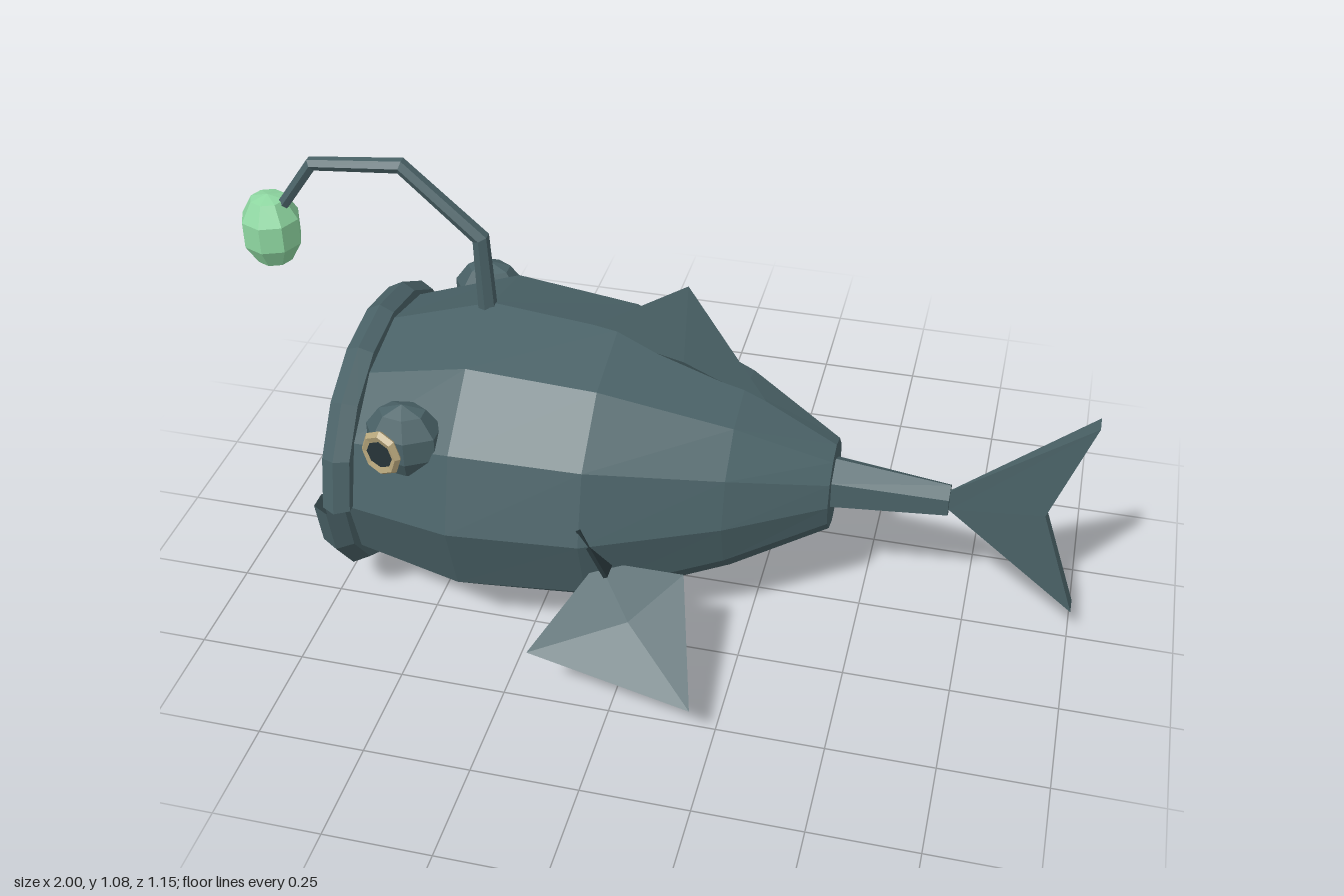
import * as THREE from 'three';

const flat = (name, color) => new THREE.MeshStandardMaterial({ name, color, flatShading: true, side: THREE.DoubleSide });
const skin = flat('skin', 0x4a6267);
const bone = flat('bone', 0xb5a47a);
const glow = flat('glow', 0x8fd8a2);
const dark = flat('dark', 0x263438);

function fromTriangles(points) {
  const g = new THREE.BufferGeometry().setFromPoints(points);
  g.computeVertexNormals();
  return g;
}

// Elliptical cross-section in the plane spanned by the z axis and a direction at the given tilt
function ring(x, y, rUp, rz, sides, tilt = 0, offset = 0) {
  return Array.from({ length: sides }, (_, i) => {
    const a = offset + (i / sides) * Math.PI * 2, s = Math.sin(a) * rUp;
    return new THREE.Vector3(x - Math.sin(tilt) * s, y + Math.cos(tilt) * s, Math.cos(a) * rz);
  });
}

function loft(rings, capEnd) {
  const out = [], n = rings[0].length;
  for (let i = 0; i < rings.length - 1; i++) {
    for (let j = 0; j < n; j++) {
      const k = (j + 1) % n, a = rings[i], b = rings[i + 1];
      out.push(a[j], b[j], b[k], a[j], b[k], a[k]);
    }
  }
  const last = rings[rings.length - 1];
  if (capEnd) for (let j = 1; j < n - 1; j++) out.push(last[0], last[j], last[j + 1]);
  return fromTriangles(out);
}

// Thin lens-shaped fin: outline with sharp edges, thickest at its hub
function lensFin(outline, hub, thickness) {
  const p = outline.map(c => new THREE.Vector3(...c));
  const n = new THREE.Vector3().crossVectors(p[1].clone().sub(p[0]), p[2].clone().sub(p[0])).normalize();
  const h = new THREE.Vector3(...hub);
  const front = h.clone().addScaledVector(n, thickness), back = h.clone().addScaledVector(n, -thickness);
  const out = [];
  p.forEach((a, i) => {
    const b = p[(i + 1) % p.length];
    out.push(a, b, front, b, a, back);
  });
  return fromTriangles(out);
}

export function createModel() {
  const model = new THREE.Group();
  model.name = 'deepSeaFish';
  const add = (name, geometry, material, parent = model) => {
    const m = new THREE.Mesh(geometry, material);
    m.name = name;
    parent.add(m);
    return m;
  };

  // Body and tail stalk
  add('body', loft([
    [-0.67, 0.352, 0.3, 0.34], [-0.4, 0.372, 0.368, 0.41], [-0.1, 0.365, 0.345, 0.375],
    [0.2, 0.367, 0.23, 0.24], [0.42, 0.362, 0.112, 0.098],
  ].map(([x, y, ry, rz]) => ring(x, y, ry, rz, 12)), true), skin);
  add('tailStalk', loft([
    ring(0.41, 0.367, 0.068, 0.064, 6, 0, Math.PI / 2),
    ring(0.69, 0.362, 0.043, 0.036, 6, 0, Math.PI / 2),
  ], true), skin);

  // Tail fin, a forked plate thickening towards its trailing edge
  const tailShape = new THREE.Shape([
    [0.69, 0.335], [1, 0.1], [0.91, 0.37], [1, 0.635], [0.69, 0.39],
  ].map(p => new THREE.Vector2(...p)));
  const tail = new THREE.ExtrudeGeometry(tailShape, { depth: 2, bevelEnabled: false });
  const tp = tail.attributes.position;
  for (let i = 0; i < tp.count; i++) {
    tp.setZ(i, (tp.getZ(i) - 1) * (0.002 + 0.02 * Math.min(1, (tp.getX(i) - 0.69) / 0.27)));
  }
  tail.computeVertexNormals();
  add('tailFin', tail, skin);

  // Dorsal fin
  add('dorsalFin', lensFin([[-0.18, 0.7, 0], [0.26, 0.555, 0], [0.065, 0.853, 0]], [0.06, 0.66, 0], 0.02), skin);

  // Mouth lining: two half discs meeting at a slightly recessed line
  for (const side of [1, -1]) {
    const pts = [], rim = a => new THREE.Vector3(
      -0.61 - 0.06 * Math.sin(a), 0.357 + side * 0.3 * Math.sin(a), -side * 0.345 * Math.cos(a));
    for (let i = 0; i < 6; i++) {
      pts.push(new THREE.Vector3(-0.61, 0.357, 0), rim((i / 6) * Math.PI), rim(((i + 1) / 6) * Math.PI));
    }
    // reverse the winding so both halves face out of the mouth
    const lining = fromTriangles(pts.reverse());
    add(side > 0 ? 'palate' : 'mouthFloor', lining, skin);
  }

  // Lips
  for (const [name, side, x, r, tube] of [['upperLip', 1, -0.68, 0.345, 0.038], ['lowerLip', -1, -0.697, 0.342, 0.044]]) {
    const g = new THREE.TorusGeometry(r, tube, 6, 8, Math.PI);
    g.rotateY(Math.PI / 2);
    if (side < 0) g.rotateX(Math.PI);
    g.scale(1, 0.87, 1);
    g.translate(x, 0.358, 0);
    add(name, g, skin);
  }

  // Needle teeth
  const teeth = new THREE.Group();
  teeth.name = 'teeth';
  model.add(teeth);
  for (const side of [1, -1]) {
    for (let i = 0; i < 9; i++) {
      const a = 0.3 + (i / 8) * (Math.PI - 0.6), length = i % 2 ? 0.12 : 0.145;
      const t = add('tooth', new THREE.ConeGeometry(0.012, length, 5), bone, teeth);
      t.position.set(-0.69, 0.358 + side * (0.285 * Math.sin(a) - length / 2 + 0.01), 0.32 * Math.cos(a));
      if (side > 0) t.rotation.x = Math.PI;
    }
  }

  // Lure stalk and glowing bulb
  const path = [[-0.41, 0.7], [-0.418, 0.91], [-0.597, 1.072], [-0.812, 1.05], [-0.925, 0.89]];
  const heading = i => Math.atan2(path[i + 1][1] - path[i][1], path[i + 1][0] - path[i][0]);
  let previous = heading(0);
  add('lureStalk', loft(path.map(([x, y], i) => {
    let h = i < path.length - 1 ? heading(i) : previous;
    if (h < 0) h += Math.PI * 2;
    const tilt = (h + previous) / 2, r = 0.023 - 0.002 * i;
    previous = h;
    return ring(x, y, r, r, 6, tilt);
  }), true), skin);
  const bulb = new THREE.LatheGeometry([
    [0, -0.09], [0.042, -0.08], [0.069, -0.032], [0.069, 0.032], [0.042, 0.08], [0, 0.09],
  ].map(p => new THREE.Vector2(...p)), 8);
  add('lureBulb', bulb, glow).position.set(-0.931, 0.866, 0);

  // Paired parts, built on +z and mirrored by a rule on z
  for (const s of [1, -1]) {
    const side = s > 0 ? 'near' : 'far';

    add(side + 'PectoralFin', lensFin([
      [-0.07, 0.28, s * 0.31], [-0.18, 0.172, s * 0.53], [0.205, 0.122, s * 0.575], [0.13, 0.28, s * 0.31],
    ], [0.03, 0.215, s * 0.43], 0.011), skin);

    // Eye: socket bump, ring and pupil
    const eye = new THREE.Group();
    eye.name = side + 'Eye';
    eye.position.set(-0.515, 0.556, s * 0.315);
    model.add(eye);
    const socket = add('eyeSocket', new THREE.SphereGeometry(0.094, 7, 5), skin, eye);
    socket.scale.z = 0.72;
    const gaze = new THREE.Group();
    gaze.name = 'eyeball';
    gaze.position.set(-0.035, -0.006, s * 0.056);
    gaze.rotation.y = s > 0 ? -0.25 : Math.PI + 0.25;
    eye.add(gaze);
    add('eyeRing', new THREE.TorusGeometry(0.04, 0.012, 5, 8), bone, gaze).scale.y = 1.15;
    const pupil = add('pupil', new THREE.CylinderGeometry(0.034, 0.034, 0.009, 8), dark, gaze);
    pupil.rotation.x = Math.PI / 2;
    pupil.position.z = 0.004;

    // Gill slit
    const gill = add(side + 'GillSlit', new THREE.BoxGeometry(0.01, 0.14, 0.05), dark);
    gill.position.set(-0.07, 0.345, s * 0.34);
    gill.rotation.z = 0.46;
  }
  return model;
}
